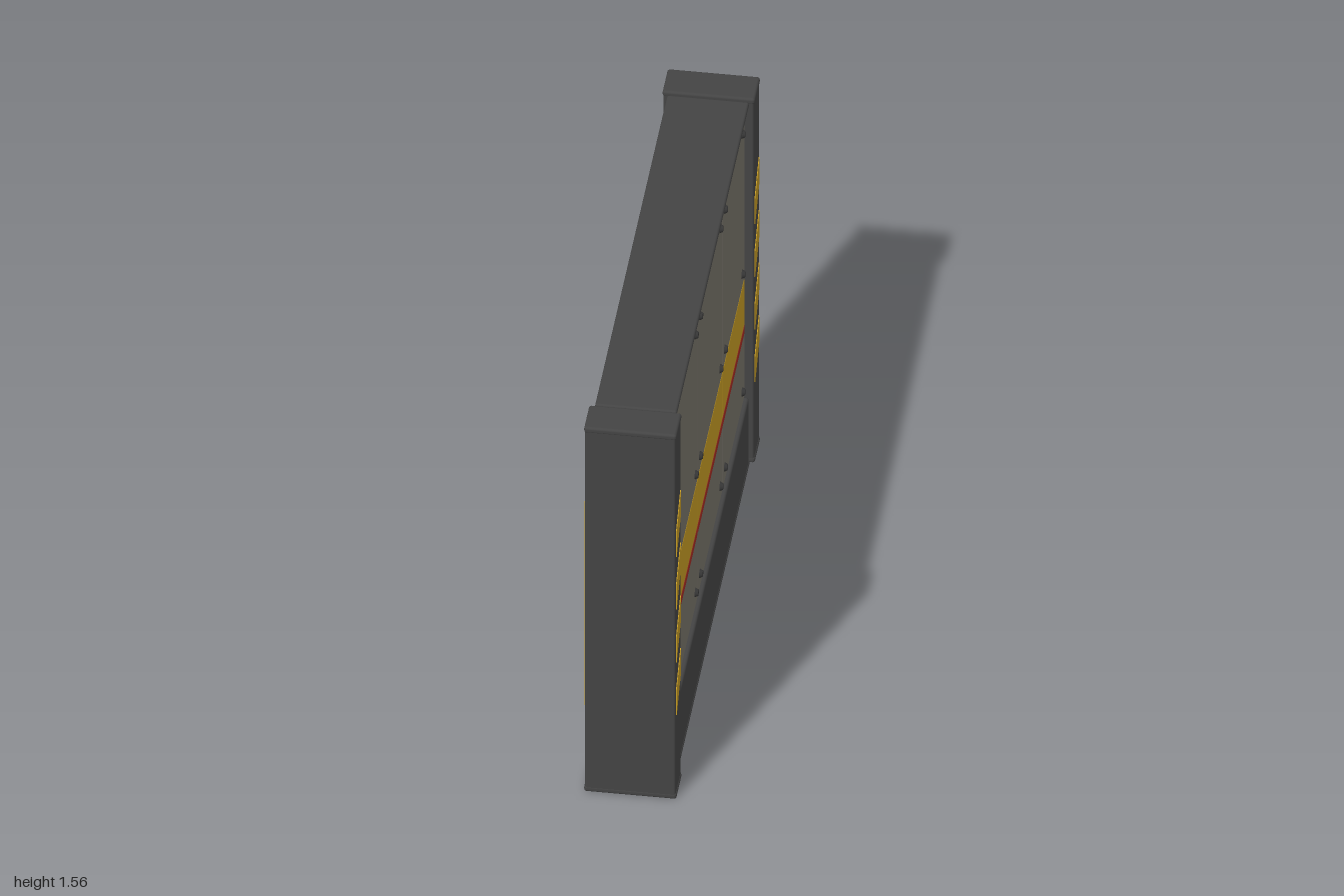
import * as THREE from 'three';
import { RoundedBoxGeometry } from 'three/addons/geometries/RoundedBoxGeometry.js';

const mat = (name, color) => Object.assign(new THREE.MeshStandardMaterial({ color }), { name });

export function createModel() {
  const group = new THREE.Group();
  group.name = 'wallSegment';
  const frame = mat('dark frame', 0x444444);
  const steel = mat('panel steel', 0x777369);
  const yellow = mat('warning yellow', 0xc49a24);
  const red = mat('red line', 0xa02c22);
  const boltMat = mat('bolt metal', 0x383838);

  function add(name, geometry, material) {
    const mesh = new THREE.Mesh(geometry, material);
    mesh.name = name;
    group.add(mesh);
    return mesh;
  }

  // Rounded block given by its limits on each axis
  function block(name, x0, x1, y0, y1, z0, z1, material, r = 0.006) {
    const g = new RoundedBoxGeometry(x1 - x0, y1 - y0, z1 - z0, 2, r);
    g.translate((x0 + x1) / 2, (y0 + y1) / 2, (z0 + z1) / 2);
    return add(name, g, material);
  }

  // Wall core and horizontal beams
  const end = 0.862;
  block('core', -0.108, 0.108, 0.1, 1.54, -0.855, 0.855, frame);
  block('bottomBeam', -0.14, 0.14, 0.012, 0.29, -end, end, frame, 0.01);
  block('bottomRail', -0.142, 0.142, 0.004, 0.022, -end, end, frame);
  block('topBeam', -0.14, 0.14, 1.535, 1.555, -end, end, frame, 0.008);

  // Cladding: three columns of plates on both faces
  const columns = [[-0.858, -0.329], [-0.324, 0.26], [0.265, 0.857]];
  const boltColumns = [-0.797, -0.38, -0.272, 0.212, 0.318, 0.795];
  const boltRows = [0.36, 0.865, 1.465];
  for (const s of [1, -1]) {
    const plate = (name, y0, y1, z0, z1, material, out = 0.125) =>
      block(name, Math.min(s * 0.1, s * out), Math.max(s * 0.1, s * out), y0, y1, z0, z1, material, 0.004);
    for (const [z0, z1] of columns) {
      plate('lowerPanel', 0.295, 0.572, z0, z1, steel);
      plate('redLine', 0.568, 0.602, z0, z1, red, 0.126);
      plate('yellowBand', 0.602, 0.798, z0, z1, yellow);
      plate('upperPanel', 0.802, 1.53, z0, z1, steel);
    }
    for (const z of boltColumns) for (const y of boltRows) {
      const g = new THREE.CylinderGeometry(0.011, 0.017, 0.012, 12);
      g.rotateZ(-s * Math.PI / 2);
      add('bolt', g, boltMat).position.set(s * 0.13, y, z);
    }
  }

  // Hazard stripe: slanted plate, rising to the viewer's right on either face
  const stripe = new THREE.Shape([
    [-0.05, -0.105], [0.05, -0.005], [0.05, 0.105], [-0.05, 0.005],
  ].map(([x, y]) => new THREE.Vector2(x, y)));
  const stripeGeometry = new THREE.ExtrudeGeometry(stripe, { depth: 0.003, bevelEnabled: false });

  // End posts with a slim cap and foot
  for (const e of [1, -1]) {
    const z0 = e > 0 ? 0.87 : -1, z1 = z0 + 0.13;
    block('post', -0.155, 0.155, 0.008, 1.552, z0 + 0.001, z1 - 0.001, frame, 0.008);
    block('postFoot', -0.158, 0.158, 0, 0.024, z0, z1, frame, 0.009);
    block('postCap', -0.158, 0.158, 1.536, 1.56, z0, z1, frame, 0.009);
    for (const s of [1, -1]) {
      if (s < 0 && e > 0) {
        // This face carries one solid yellow strip
        block('yellowStrip', -0.158, -0.153, 0.36, 1.23, 0.885, 0.985, yellow, 0.001);
        continue;
      }
      for (let i = 0; i < 4; i++) {
        const m = add('hazardStripe', stripeGeometry, yellow);
        m.rotation.y = s * Math.PI / 2;
        m.position.set(s * 0.1545, (e > 0 ? 1.135 : 1.12) - i * 0.226, e * 0.935);
      }
    }
  }
  return group;
}
